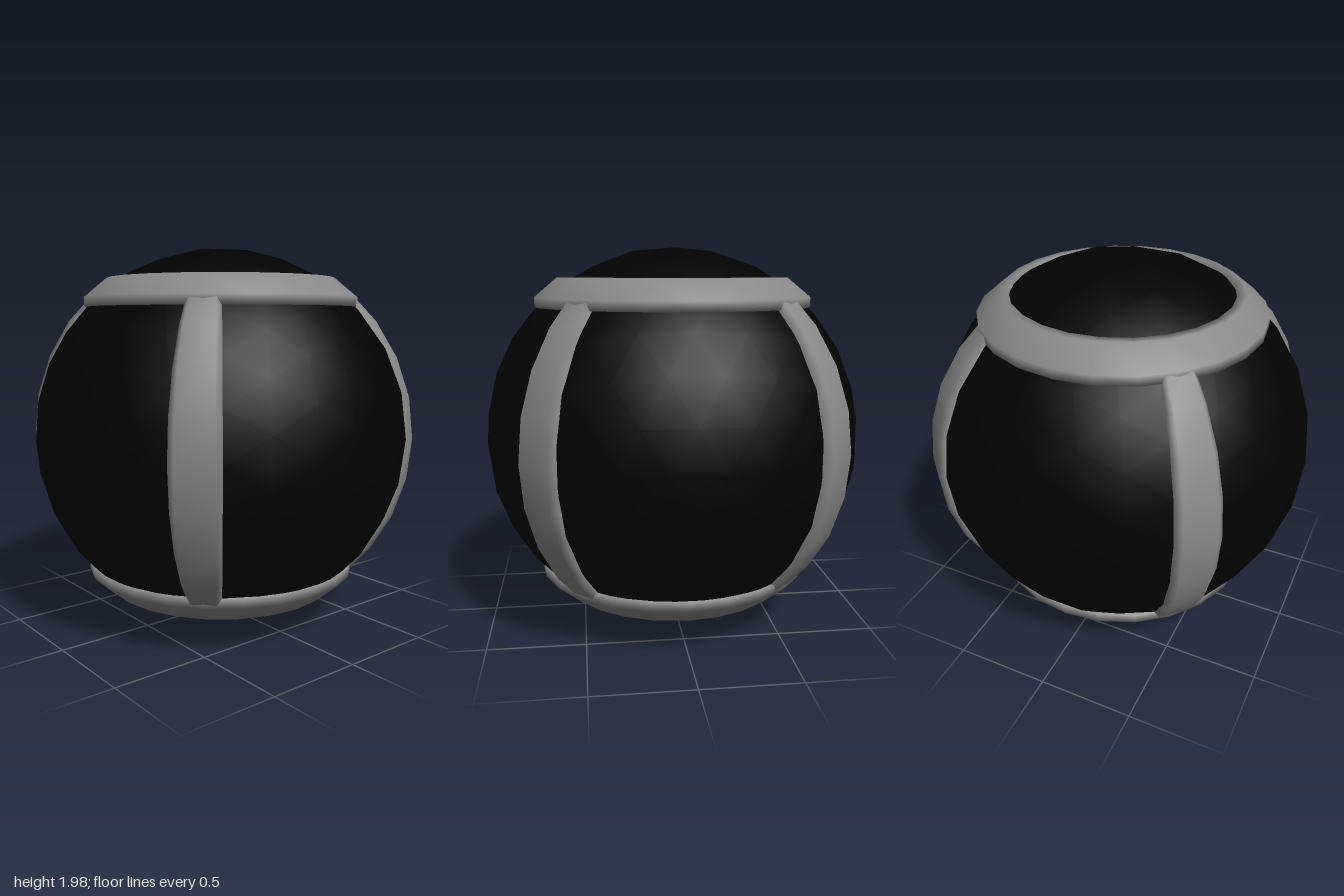
import * as THREE from 'three';
import { mergeVertices } from 'three/addons/utils/BufferGeometryUtils.js';

const profile = (points) => points.map(([r, h]) => new THREE.Vector2(r, h));

// One rib: a bevelled arc centred on +x that narrows towards both ends
function createRibGeometry() {
  const span = THREE.MathUtils.degToRad(98);
  const section = profile([
    [0.95, -0.12], [1.0, -0.12], [1.029, -0.09], [1.029, 0.09], [1.0, 0.12], [0.95, 0.12],
  ]);
  const geometry = new THREE.LatheGeometry(section, 8, Math.PI / 2 - span / 2, span);
  geometry.rotateX(Math.PI / 2);
  const p = geometry.attributes.position;
  for (let i = 0; i < p.count; i++) {
    p.setZ(i, p.getZ(i) * p.getX(i) / Math.hypot(p.getX(i), p.getY(i)));
  }
  geometry.computeVertexNormals();
  return geometry;
}

export function createModel() {
  const group = new THREE.Group();
  const grey = new THREE.MeshStandardMaterial({ color: 0x888888 });
  const black = new THREE.MeshStandardMaterial({ color: 0x020202 });

  const add = (name, geometry, material) => {
    const mesh = new THREE.Mesh(geometry, material);
    mesh.name = name;
    mesh.position.y = 1;
    group.add(mesh);
    return mesh;
  };

  // Black core ball
  add('core', mergeVertices(new THREE.IcosahedronGeometry(1, 4)), black);

  // Bevelled rings around the top and bottom caps
  const ringGeometry = new THREE.LatheGeometry(profile([
    [0.66, 0.69], [0.73, 0.69], [0.73, 0.74], [0.61, 0.84], [0.565, 0.84], [0.565, 0.79],
  ]), 24);
  add('topRing', ringGeometry, grey);
  add('bottomRing', ringGeometry, grey).rotation.x = Math.PI;

  // Four ribs on the diagonals, joining the two rings
  const ribGeometry = createRibGeometry();
  ['frontRight', 'frontLeft', 'backLeft', 'backRight'].forEach((corner, i) => {
    add(corner + 'Rib', ribGeometry, grey).rotation.y = (i - 1.5) * Math.PI / 2;
  });

  return group;
}
